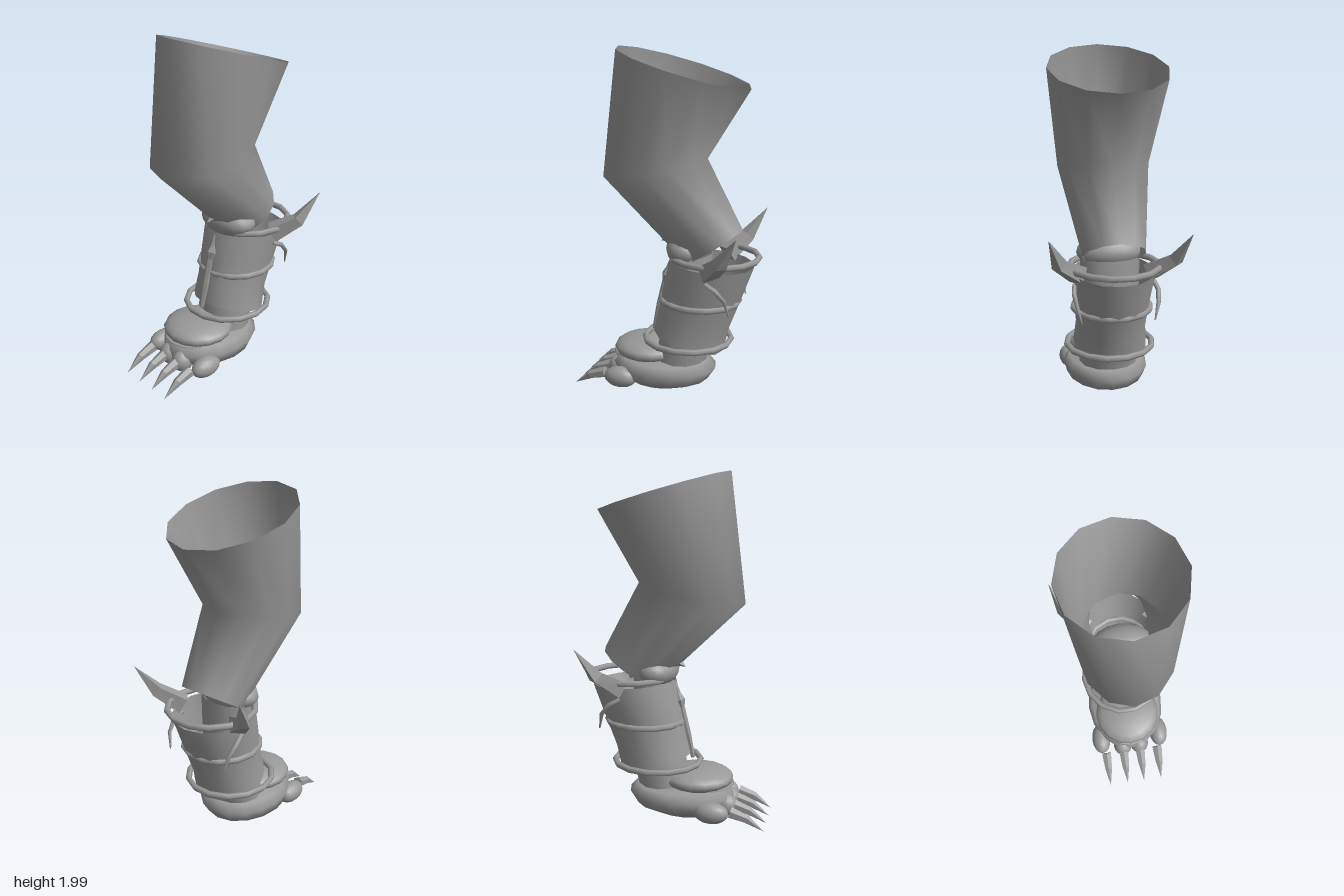
import * as THREE from 'three';

const hide = new THREE.MeshStandardMaterial({ color: 0x999999, side: THREE.DoubleSide });
hide.name = 'grey';

// Joins equal rings of points, listed from bottom to top, into a skin
function skin(rings, flat) {
  const n = rings[0].length, pos = [], idx = [];
  rings.forEach(r => r.forEach(p => pos.push(p.x, p.y, p.z)));
  for (let i = 0; i < rings.length - 1; i++) {
    for (let j = 0; j < n; j++) {
      const a = i * n + j, b = i * n + (j + 1) % n;
      idx.push(a, b, a + n, b, b + n, a + n);
    }
  }
  let g = new THREE.BufferGeometry();
  g.setAttribute('position', new THREE.Float32BufferAttribute(pos, 3));
  g.setIndex(idx);
  if (flat) g = g.toNonIndexed();
  g.computeVertexNormals();
  return g;
}

// Elliptic sections: [front z, front y, back z, back y, half width]
function limb(sections, sides = 12) {
  return skin(sections.map(([fz, fy, bz, by, w]) =>
    Array.from({ length: sides }, (_, j) => {
      const a = j / sides * Math.PI * 2, c = Math.cos(a) / 2;
      return new THREE.Vector3(w * Math.sin(a), (fy + by) / 2 + c * (fy - by), (fz + bz) / 2 + c * (fz - bz));
    })));
}

// Faceted spike through points [x, y, z, radius]
function spike(points, sides = 4, flat = true) {
  const p = points.map(q => new THREE.Vector3(q[0], q[1], q[2]));
  const up = new THREE.Vector3(0, 1, 0);
  const rings = p.map((c, i) => {
    const t = p[Math.min(i + 1, p.length - 1)].clone().sub(p[Math.max(i - 1, 0)]).normalize();
    const q = new THREE.Quaternion().setFromUnitVectors(up, t);
    return Array.from({ length: sides }, (_, j) => {
      const a = j / sides * Math.PI * 2, r = points[i][3];
      return new THREE.Vector3(r * Math.sin(a), 0, r * Math.cos(a)).applyQuaternion(q).add(c);
    });
  });
  rings.unshift(rings[0].map(() => p[0].clone()));
  return skin(rings, flat);
}

function ball(x, y, z, rx, ry, rz) {
  return new THREE.SphereGeometry(1, 16, 10).scale(rx, ry, rz).translate(x, y, z);
}

export function createModel() {
  const model = new THREE.Group();
  model.name = 'clawedLeg';
  const add = (name, geometry) => {
    const m = new THREE.Mesh(geometry, hide);
    m.name = name;
    model.add(m);
  };

  // Bent, open-topped upper leg
  add('upperLeg', limb([
    [-0.11, 0.79, -0.43, 1.0, 0.175],
    [0.39, 1.275, -0.22, 1.39, 0.265],
    [0.30, 2.0, -0.46, 1.78, 0.335],
  ]));

  // Inner shin and its rounded top
  add('shin', limb([
    [0.08, 0.2, -0.23, 0.2, 0.17],
    [0.04, 0.4, -0.27, 0.36, 0.165],
    [-0.03, 0.85, -0.25, 0.85, 0.17],
  ]));
  add('shinTop', ball(0, 0.88, -0.12, 0.19, 0.1, 0.125));
  add('shinTopSpike', spike([[0, 0.94, -0.02, 0.045], [0, 0.9, 0.05, 0]]));

  // Armour cuff, open at both ends
  add('cuff', limb([
    [0.085, 0.385, -0.33, 0.27, 0.21],
    [0.06, 0.5, -0.365, 0.42, 0.198],
    [0.03, 0.65, -0.425, 0.58, 0.21],
    [-0.01, 0.82, -0.5, 0.79, 0.23],
  ], 14));

  // Bands around the cuff: [y, centre z, half width, half depth]
  const tube = 0.018;
  for (const [y, z, w, d] of [
    [0.84, -0.275, 0.265, 0.268],
    [0.575, -0.19, 0.235, 0.243],
    [0.33, -0.117, 0.265, 0.272],
  ]) {
    add('cuffBand', new THREE.TorusGeometry(w - tube, tube, 6, 14)
      .rotateX(Math.PI / 2).scale(1, 1, d / w).translate(0, y, z));
  }

  // Narrow blade down the front of the cuff
  add('frontBlade', spike([
    [0, 0.355, 0.095, 0.012], [0, 0.5, 0.06, 0.022], [0, 0.66, 0.022, 0.022],
    [0, 0.7, 0.01, 0.036], [0, 0.74, 0, 0.02], [0, 0.81, -0.015, 0.008],
  ], 6));

  // Side horns and the thin hooks below them
  for (const s of [1, -1]) {
    add(s > 0 ? 'leftHorn' : 'rightHorn', spike([
      [s * 0.2, 0.8, -0.29, 0.065], [s * 0.315, 0.89, -0.385, 0.045], [s * 0.38, 1.055, -0.49, 0],
    ]));
    add(s > 0 ? 'leftHook' : 'rightHook', spike([
      [s * 0.22, 0.74, -0.28, 0.014], [s * 0.232, 0.71, -0.34, 0.014],
      [s * 0.222, 0.65, -0.39, 0.012], [s * 0.2, 0.56, -0.41, 0.004],
    ], 6, false));
  }

  // Foot: sole, instep and the thin fold between them
  add('sole', limb([
    [0.05, 0.025, 0.05, 0.025, 0], [0.25, 0.035, -0.12, 0.03, 0.14],
    [0.33, 0.1, -0.24, 0.08, 0.23], [0.34, 0.15, -0.285, 0.15, 0.245],
    [0.3, 0.2, -0.24, 0.2, 0.22], [0.1, 0.23, 0, 0.23, 0],
  ], 16));
  add('instep', ball(0, 0.24, 0.125, 0.205, 0.07, 0.21));
  add('instepFold', ball(0, 0.208, 0.19, 0.16, 0.012, 0.15));

  // Toes and claws
  for (const s of [1, -1]) {
    add('innerToe', ball(s * 0.055, 0.1, 0.3, 0.06, 0.067, 0.07));
    add('outerToe', ball(s * 0.192, 0.1, 0.24, 0.06, 0.062, 0.1));
    for (const x of [0.055, 0.17]) {
      add('claw', spike([
        [s * x, 0.105, 0.345, 0.034], [s * x, 0.075, 0.44, 0.026], [s * x, 0.008, 0.542, 0],
      ], 6));
    }
  }
  return model;
}
